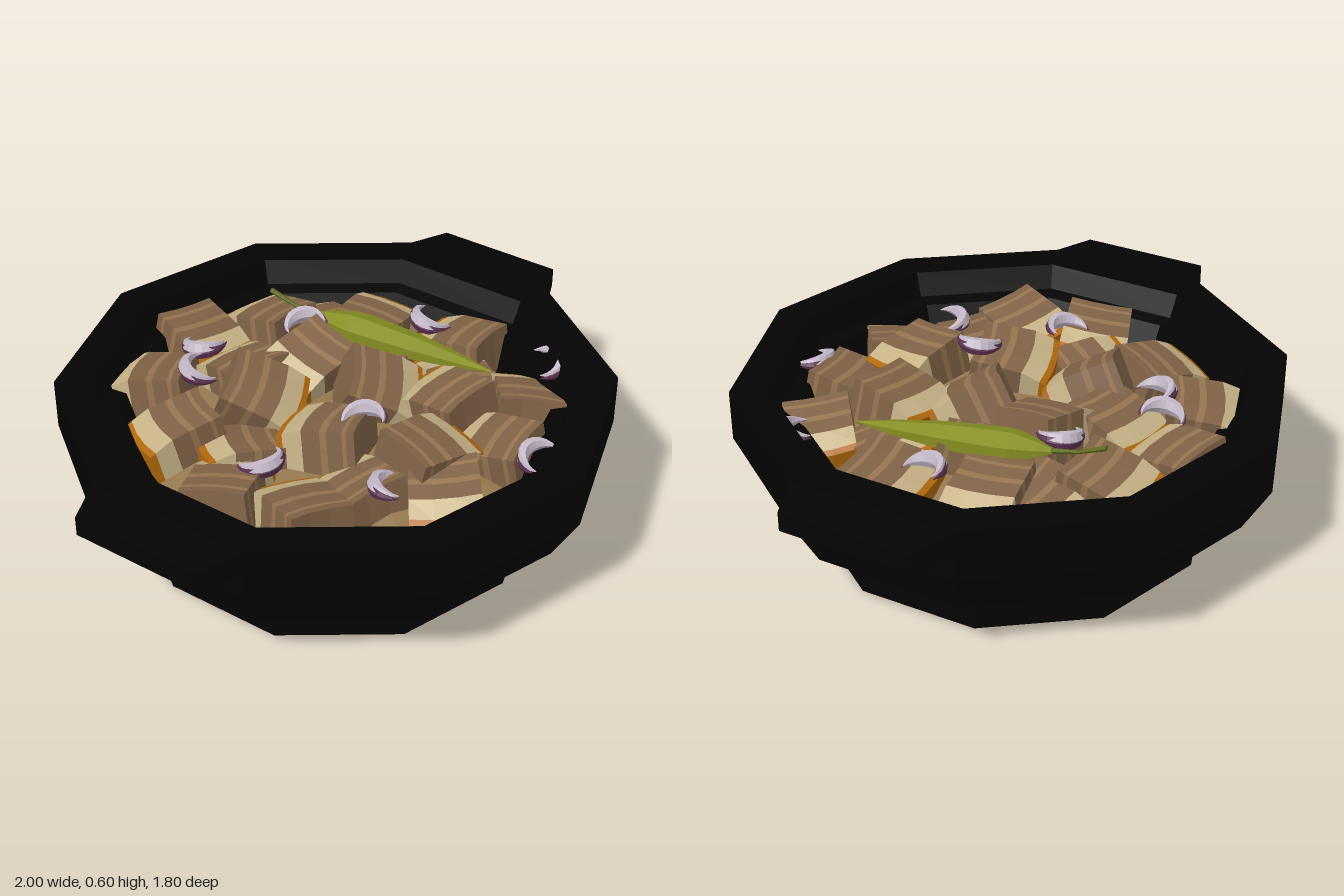
import * as THREE from 'three';

const mat = (color, side = THREE.FrontSide) =>
  new THREE.MeshStandardMaterial({ color, side, flatShading: true });
const M = {
  pot: mat(0x030303, THREE.DoubleSide), skin: mat(0xb0680c), fat: mat(0xc6b286),
  meat: mat(0x806246), streak: mat(0x967450), sauce: mat(0x957850),
  purple: mat(0x5c3050), onion: mat(0xc4b8c8), pepper: mat(0x868e22), stem: mat(0x5c6618),
};
const rad = THREE.MathUtils.degToRad;

function add(parent, geometry, material, name) {
  const mesh = new THREE.Mesh(geometry, material);
  mesh.name = name;
  parent.add(mesh);
  return mesh;
}

function reshape(geometry, rule) {
  const p = geometry.attributes.position;
  const v = new THREE.Vector3();
  for (let i = 0; i < p.count; i++) {
    rule(v.fromBufferAttribute(p, i));
    p.setXYZ(i, v.x, v.y, v.z);
  }
  geometry.computeVertexNormals();
  return geometry;
}

const lathe = (points, sides) =>
  new THREE.LatheGeometry(points.map(([r, y]) => new THREE.Vector2(r, y)), sides);

// Slab thicknesses from the skin inwards
const LAYERS = [
  ['skin', 0.02], ['fat', 0.064], ['meat', 0.06], ['streak', 0.022],
  ['meat', 0.05], ['streak', 0.014], ['meat', 0.026],
];
// Shared layer geometries, gently curved so the skin side bulges and slopes down
function layerGeometries() {
  let x = 0.129;
  return LAYERS.map(([kind, t]) => {
    const g = new THREE.BoxGeometry(t, 0.18, 0.22, 1, 1, 3);
    g.translate(x - t / 2, 0, 0);
    x -= t;
    reshape(g, (v) => {
      v.z *= 1 + 0.3 * v.x;
      v.x -= 0.9 * v.z * v.z - 0.005;
      v.y *= 1 - 2.5 * v.z * v.z;
      if (v.y > 0) v.y -= 0.35 * Math.max(0, v.x - 0.05);
    });
    return [kind, g];
  });
}

// x, z, y, skin direction, tilt x, tilt z (degrees)
const CHUNKS = [
  [-0.23, -0.575, 0.39, 112, 8, -8], [0.06, -0.6, 0.39, 255, -6, -10], [0.28, -0.48, 0.39, 85, 5, -12],
  [-0.4, -0.33, 0.39, 150, 6, -12], [-0.02, -0.36, 0.4, 75, 0, -14], [-0.14, -0.2, 0.445, 290, 18, -24],
  [0.12, -0.19, 0.43, 170, -10, -12], [0.5, -0.19, 0.38, 5, 4, -8], [-0.53, -0.03, 0.38, 20, -8, -8],
  [-0.49, 0.21, 0.38, 65, 8, -8], [-0.18, 0.09, 0.43, 105, 10, -8], [0.12, 0.08, 0.435, 300, 18, -24],
  [0.29, -0.04, 0.37, 110, -5, -10], [0.55, 0.12, 0.38, 92, 5, -8], [0.2, 0.29, 0.42, 80, -6, -10],
  [-0.06, 0.39, 0.42, 345, 7, -8], [-0.29, 0.29, 0.36, 70, -8, -12], [-0.17, 0.53, 0.37, 215, 6, -10],
  [0.13, 0.52, 0.37, 95, -5, -10], [0.42, 0.46, 0.36, 35, 8, -10],
  [0.38, 0.22, 0.35, 60, 8, 5], [0.4, -0.36, 0.35, 80, 10, -6], [-0.35, -0.12, 0.36, 140, 12, 4],
];

// x, z, y, direction of the crescent's back in degrees
const ONIONS = [
  [-0.15, -0.42, 0.495, 150], [-0.03, -0.51, 0.495, 195], [0.22, -0.28, 0.51, 50],
  [-0.42, 0.01, 0.48, 240], [-0.14, 0.2, 0.53, 30], [-0.29, 0.42, 0.47, 120],
  [0.56, 0.01, 0.475, 165], [0.53, 0.45, 0.475, 310], [0.11, 0.7, 0.45, 90],
];

// A crescent whose thickness fades towards both ends
function crescent(radius, tube, height) {
  const arc = Math.PI * 1.15;
  const g = new THREE.TorusGeometry(radius, tube, 6, 12, arc);
  g.rotateZ(-arc / 2);
  reshape(g, (v) => {
    const a = Math.atan2(v.y, v.x);
    const k = Math.max(0.06, Math.cos((a / (arc / 2)) * Math.PI / 2));
    const r = radius + (Math.hypot(v.x, v.y) - radius) * k;
    v.set(Math.cos(a) * r, Math.sin(a) * r, v.z * k * height / tube);
  });
  return g.rotateX(-Math.PI / 2);
}

function createPot() {
  const pot = new THREE.Group();
  pot.name = 'pot';
  add(pot, lathe([
    [0, 0], [0.65, 0], [0.65, 0.1], [0.81, 0.2], [0.9, 0.36], [0.9, 0.53],
    [0.78, 0.53], [0.75, 0.45], [0.7, 0.44], [0.66, 0.34], [0.58, 0.28], [0, 0.28],
  ], 10), M.pot, 'bowl');
  // Side grips
  for (const s of [1, -1]) {
    const grip = new THREE.Shape([[0.82, -0.278], [0.856, -0.278], [1, -0.22],
      [1, 0.22], [0.856, 0.278], [0.82, 0.278]].map(([x, y]) => new THREE.Vector2(x, y)));
    const g = new THREE.ExtrudeGeometry(grip, { depth: 0.08, bevelEnabled: false });
    g.rotateX(-Math.PI / 2).translate(0, 0.45, 0);
    reshape(g, (v) => {
      if (v.x > 0.95) v.y += v.y > 0.5 ? -0.008 : 0.008;
    });
    g.rotateY(s > 0 ? 0 : Math.PI);
    add(pot, g, M.pot, s > 0 ? 'leftHandle' : 'rightHandle');
  }
  return pot;
}

function createPepper() {
  const pepper = new THREE.Group();
  pepper.name = 'greenPepper';
  // Pointed six-sided pod with its thin upturned stem, lengthwise along y
  add(pepper, lathe([[0.004, -0.41], [0.033, -0.29], [0.058, -0.14], [0.073, 0.05],
    [0.07, 0.11], [0.036, 0.2], [0.012, 0.24]], 6), M.pepper, 'pod');
  const stem = lathe([[0.014, 0.22], [0.009, 0.32], [0.013, 0.41], [0, 0.41]], 5);
  reshape(stem, (v) => { v.z += 1.8 * (v.y - 0.22) ** 2; });
  add(pepper, stem, M.stem, 'stem');
  pepper.scale.z = 0.6;
  pepper.rotation.set(rad(-87), 0, rad(8), 'YXZ');
  pepper.position.set(0.345, 0.49, -0.07);
  return pepper;
}

export function createModel() {
  const model = new THREE.Group();
  model.name = 'potOfBraisedMeat';
  model.add(createPot());

  // Low mound under the pieces
  add(model, lathe([[0.645, 0.34], [0.5, 0.38], [0, 0.41]], 10), M.sauce, 'sauce');

  const layers = layerGeometries();
  CHUNKS.forEach(([x, z, y, a, tx, tz]) => {
    const chunk = new THREE.Group();
    chunk.name = 'meatChunk';
    layers.forEach(([kind, g]) => add(chunk, g, M[kind], kind + 'Layer'));
    chunk.position.set(x, y, z);
    chunk.rotation.set(rad(tx), rad(a), rad(tz), 'YXZ');
    model.add(chunk);
  });

  const rind = crescent(0.072, 0.014, 0.024);
  const flesh = crescent(0.064, 0.022, 0.03).translate(0, 0.006, 0);
  ONIONS.forEach(([x, z, y, a], i) => {
    const slice = new THREE.Group();
    slice.name = 'onionSlice';
    add(slice, rind, M.purple, 'onionRind');
    add(slice, flesh, M.onion, 'onionFlesh');
    slice.position.set(x, y, z);
    slice.rotation.set(rad(i % 2 ? 8 : -8), rad(a), rad(4), 'YXZ');
    model.add(slice);
  });

  model.add(createPepper());
  return model;
}
